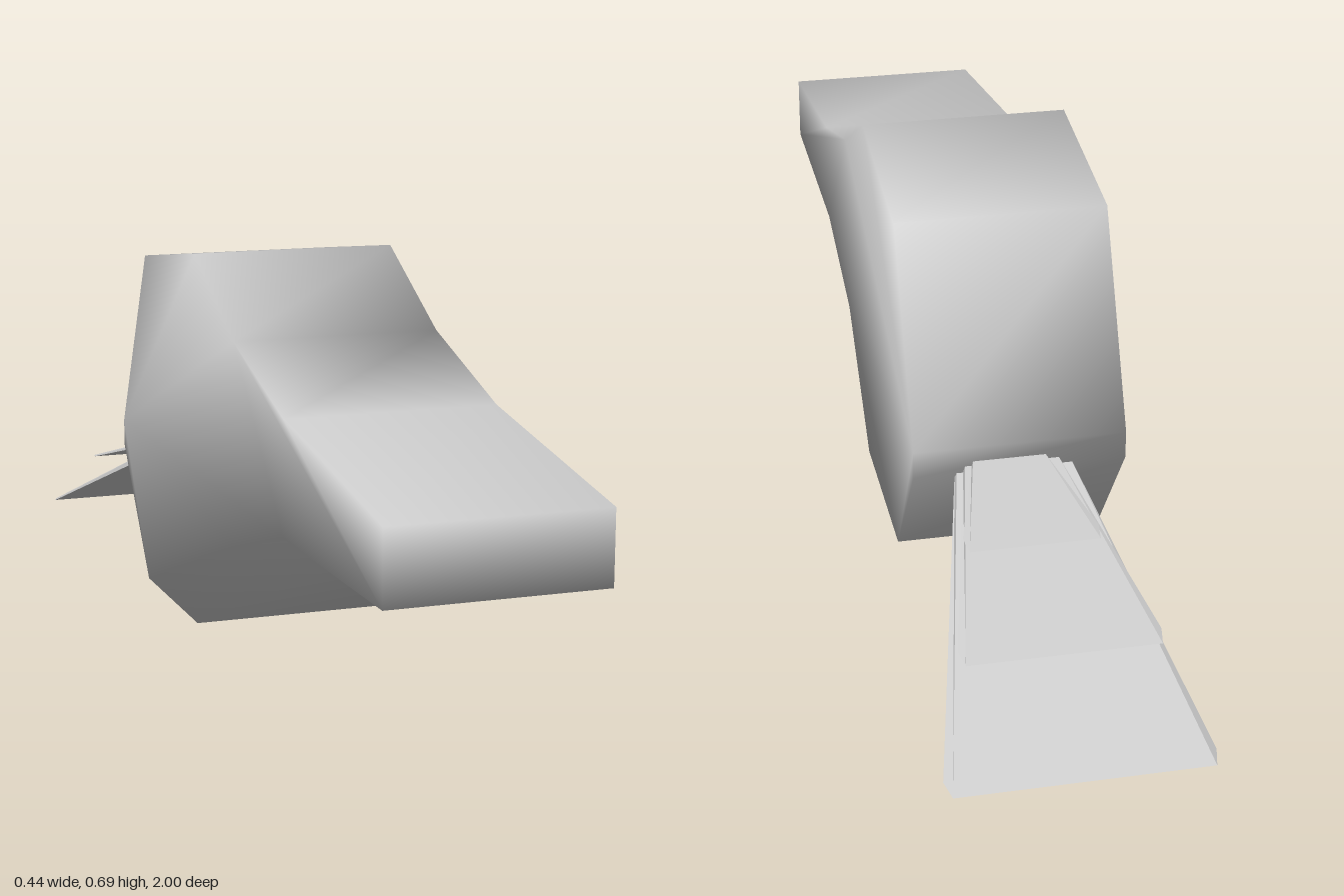
import * as THREE from 'three';
import { mergeVertices } from 'three/addons/utils/BufferGeometryUtils.js';

const grey = (flatShading = false) =>
  new THREE.MeshStandardMaterial({ color: 0xcccccc, flatShading, side: THREE.DoubleSide });

// Side profile of the body as [z, y], from the front end over the back to the belly
const PROFILE = [
  [1, 0.41], [0.555, 0.483], [0.29, 0.567], [0.065, 0.69], [-0.265, 0.645],
  [-0.437, 0.29], [-0.437, 0.24], [-0.265, 0.004], [0.065, 0.004],
  [0.29, 0.207], [0.555, 0.284], [1, 0.284],
];

// Slab body with welded corners, so the shading runs softly around the edges
function makeBody() {
  const shape = new THREE.Shape(PROFILE.map(([z, y]) => new THREE.Vector2(-z, y)));
  const slab = new THREE.ExtrudeGeometry(shape, { depth: 0.375, bevelEnabled: false });
  slab.rotateY(Math.PI / 2).translate(-0.202, 0, 0);
  slab.deleteAttribute('normal');
  slab.deleteAttribute('uv');
  const geometry = mergeVertices(slab, 1e-4);
  geometry.computeVertexNormals();
  const mesh = new THREE.Mesh(geometry, grey());
  mesh.name = 'body';
  return mesh;
}

// Thin flared plate: a box whose corners move to the root and tip of the feather
function makeFeather(name, { root, tip, thickness }) {
  const geometry = new THREE.BoxGeometry(1, 1, 1);
  const p = geometry.attributes.position;
  for (let i = 0; i < p.count; i++) {
    const top = p.getY(i) > 0;
    const atTip = p.getZ(i) < 0;
    const end = atTip ? tip : root;
    const x = p.getX(i) < 0 ? end.left : end.right;
    // The upper face is a little narrower, and the underside stops short of the tip
    const z = end.z + (!top && atTip ? 0.035 : 0);
    const y = end.y - (top ? 0 : atTip ? -0.005 : thickness);
    p.setXYZ(i, top ? x * 0.96 : x, y, z);
  }
  geometry.computeVertexNormals();
  const mesh = new THREE.Mesh(geometry, grey(true));
  mesh.name = name;
  return mesh;
}

export function createModel() {
  const model = new THREE.Group();
  model.name = 'bird';
  model.add(makeBody());

  // Three stacked tail feathers, longest at the bottom
  const tail = new THREE.Group();
  tail.name = 'tail';
  tail.add(
    makeFeather('longFeather', {
      root: { z: -0.43, y: 0.245, left: -0.11, right: 0.1 },
      tip: { z: -1, y: 0, left: -0.222, right: 0.222 },
      thickness: 0.015,
    }),
    makeFeather('middleFeather', {
      root: { z: -0.43, y: 0.256, left: -0.085, right: 0.085 },
      tip: { z: -0.84, y: 0.13, left: -0.17, right: 0.168 },
      thickness: 0.012,
    }),
    makeFeather('shortFeather', {
      root: { z: -0.43, y: 0.264, left: -0.06, right: 0.07 },
      tip: { z: -0.642, y: 0.213, left: -0.112, right: 0.12 },
      thickness: 0.01,
    }),
  );
  model.add(tail);
  return model;
}
